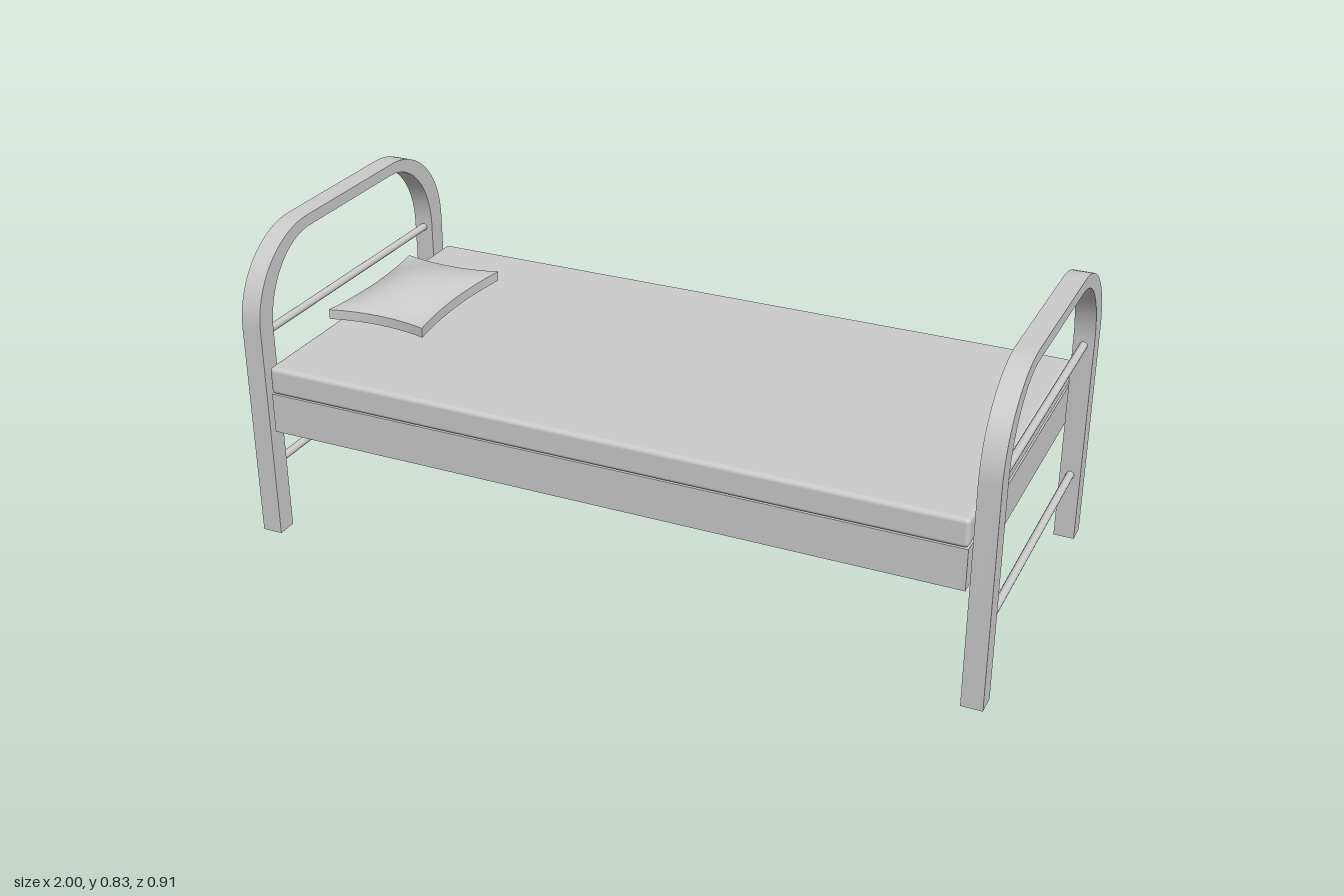
import * as THREE from 'three';
import { toCreasedNormals } from 'three/addons/utils/BufferGeometryUtils.js';
import { RoundedBoxGeometry } from 'three/addons/geometries/RoundedBoxGeometry.js';

const material = new THREE.MeshStandardMaterial({ color: 0xcccccc });

function addMesh(parent, name, geometry, x = 0, y = 0, z = 0) {
  const mesh = new THREE.Mesh(geometry, material);
  mesh.name = name;
  mesh.position.set(x, y, z);
  parent.add(mesh);
  return mesh;
}

// Bent flat bar: two legs joined by an arch, thinner across the top
function archGeometry(depth) {
  const shape = new THREE.Shape();
  shape.moveTo(-0.453, 0);
  shape.lineTo(-0.398, 0);
  shape.lineTo(-0.398, 0.58);
  shape.absellipse(-0.2, 0.58, 0.198, 0.217, Math.PI, Math.PI / 2, true);
  shape.absellipse(0.2, 0.58, 0.198, 0.217, Math.PI / 2, 0, true);
  shape.lineTo(0.398, 0);
  shape.lineTo(0.453, 0);
  shape.lineTo(0.453, 0.595);
  shape.absellipse(0.21, 0.595, 0.243, 0.233, 0, Math.PI / 2, false);
  shape.absellipse(-0.21, 0.595, 0.243, 0.233, Math.PI / 2, Math.PI, false);
  shape.closePath();
  const geometry = new THREE.ExtrudeGeometry(shape, { depth, bevelEnabled: false, curveSegments: 10 });
  geometry.translate(0, 0, -depth / 2).rotateY(Math.PI / 2);
  return toCreasedNormals(geometry, 0.6);
}

// Cushion: edges pinched in between the corners, domed above and below a thin seam band
function pillowGeometry(width, length, band, dome) {
  const geometry = new THREE.BoxGeometry(2, 2, 2, 16, 1, 20);
  const p = geometry.attributes.position;
  for (let i = 0; i < p.count; i++) {
    const u = p.getX(i), v = p.getZ(i), side = Math.sign(p.getY(i));
    const rise = dome * (1 - u * u) * (1 - v * v);
    p.setXYZ(i,
      u * (width / 2 - 0.017 * (1 - v * v)),
      side * (band / 2 + rise),
      v * (length / 2 - 0.02 * (1 - u * u)));
  }
  return toCreasedNormals(geometry, 0.7);
}

export function createModel() {
  const bed = new THREE.Group();
  bed.name = 'bed';

  // Head and foot frames with two cross rails each
  const arch = archGeometry(0.055);
  const rail = new THREE.CylinderGeometry(0.0105, 0.0105, 0.82, 16).rotateX(Math.PI / 2);
  for (const [name, side] of [['headFrame', -1], ['footFrame', 1]]) {
    const frame = new THREE.Group();
    frame.name = name;
    frame.position.x = side * 0.9725;
    addMesh(frame, 'arch', arch);
    addMesh(frame, 'upperRail', rail, 0, 0.567, 0);
    addMesh(frame, 'lowerRail', rail, 0, 0.19, 0);
    bed.add(frame);
  }

  // Base and mattress
  addMesh(bed, 'base', new THREE.BoxGeometry(1.866, 0.11, 0.9), 0.002, 0.366, 0);
  addMesh(bed, 'mattress', new RoundedBoxGeometry(1.866, 0.076, 0.906, 4, 0.012), 0.002, 0.46, 0);

  // Pillow at the head end
  addMesh(bed, 'pillow', pillowGeometry(0.285, 0.408, 0.027, 0.037), -0.765, 0.548, -0.004);

  return bed;
}
